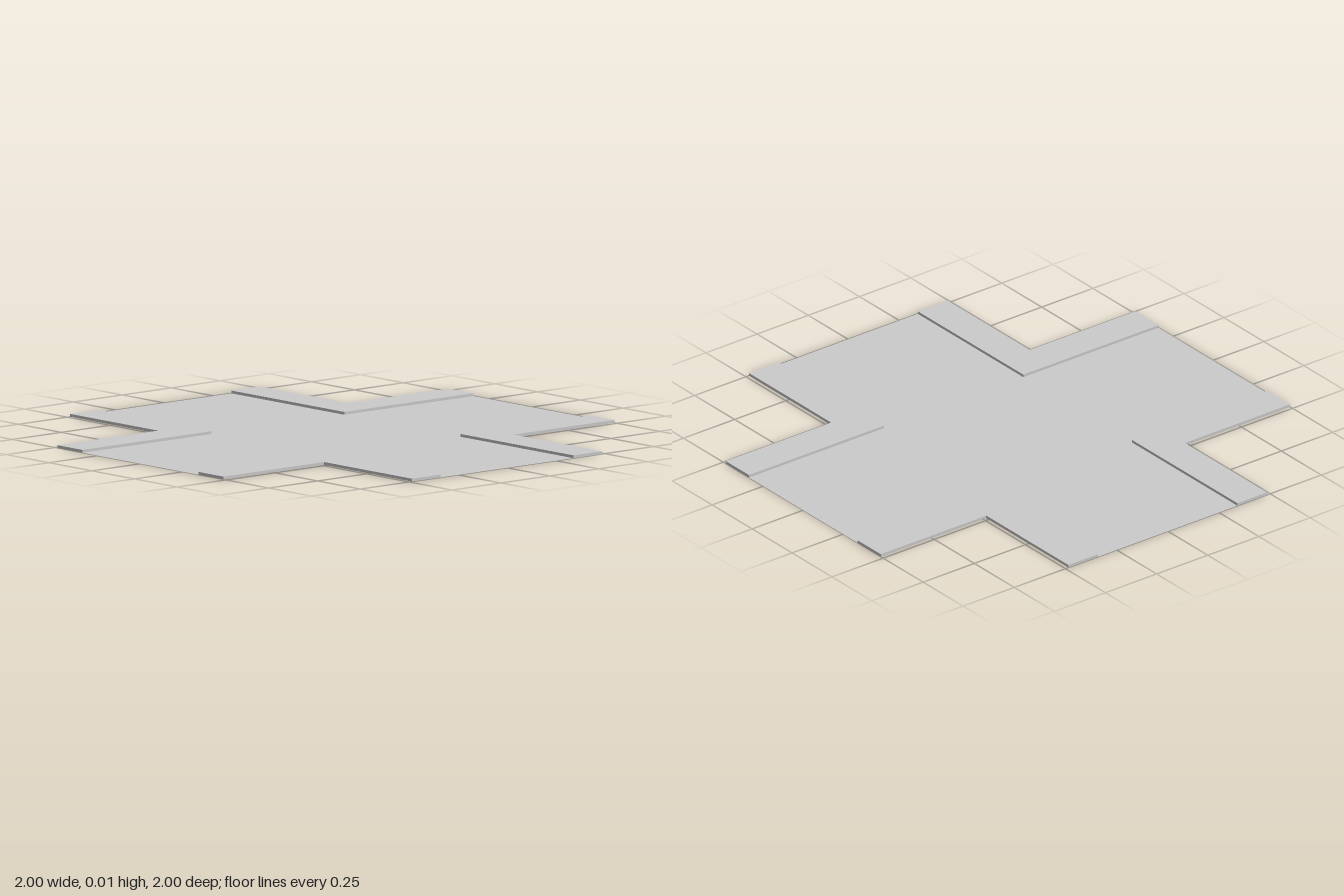
import * as THREE from 'three';

const ROAD = 0.34;   // half width of the roadway
const EDGE = 0.485;  // half width including pavements
const END = 1;       // reach of each arm
const CURB = 0.011;  // pavement height

const toShape = (pts) => new THREE.Shape(pts.map(([x, y]) => new THREE.Vector2(x, y)));

export function createModel() {
  const group = new THREE.Group();
  group.name = 'crossroads';
  const material = new THREE.MeshStandardMaterial({ color: 0xcccccc, flatShading: true });
  const thinMaterial = material.clone();
  thinMaterial.side = THREE.DoubleSide;

  // Flat cross-shaped roadway
  const road = new THREE.Mesh(
    new THREE.ShapeGeometry(toShape([
      [ROAD, ROAD], [ROAD, END], [-ROAD, END], [-ROAD, ROAD], [-END, ROAD], [-END, -ROAD],
      [-ROAD, -ROAD], [-ROAD, -END], [ROAD, -END], [ROAD, -ROAD], [END, -ROAD], [END, ROAD],
    ])).rotateX(-Math.PI / 2),
    thinMaterial,
  );
  road.name = 'roadway';
  group.add(road);

  // Raised L-shaped pavement, repeated at the four corners
  const pavementGeometry = new THREE.ExtrudeGeometry(toShape([
    [ROAD, ROAD], [END, ROAD], [END, EDGE], [EDGE, EDGE], [EDGE, END], [ROAD, END],
  ]), { depth: CURB, bevelEnabled: false }).rotateX(-Math.PI / 2);
  const corners = ['BackLeft', 'BackRight', 'FrontRight', 'FrontLeft'];
  corners.forEach((corner, i) => {
    const pavement = new THREE.Mesh(pavementGeometry, material);
    pavement.name = 'pavement' + corner;
    pavement.rotation.y = i * Math.PI / 2;
    group.add(pavement);
  });

  return group;
}
